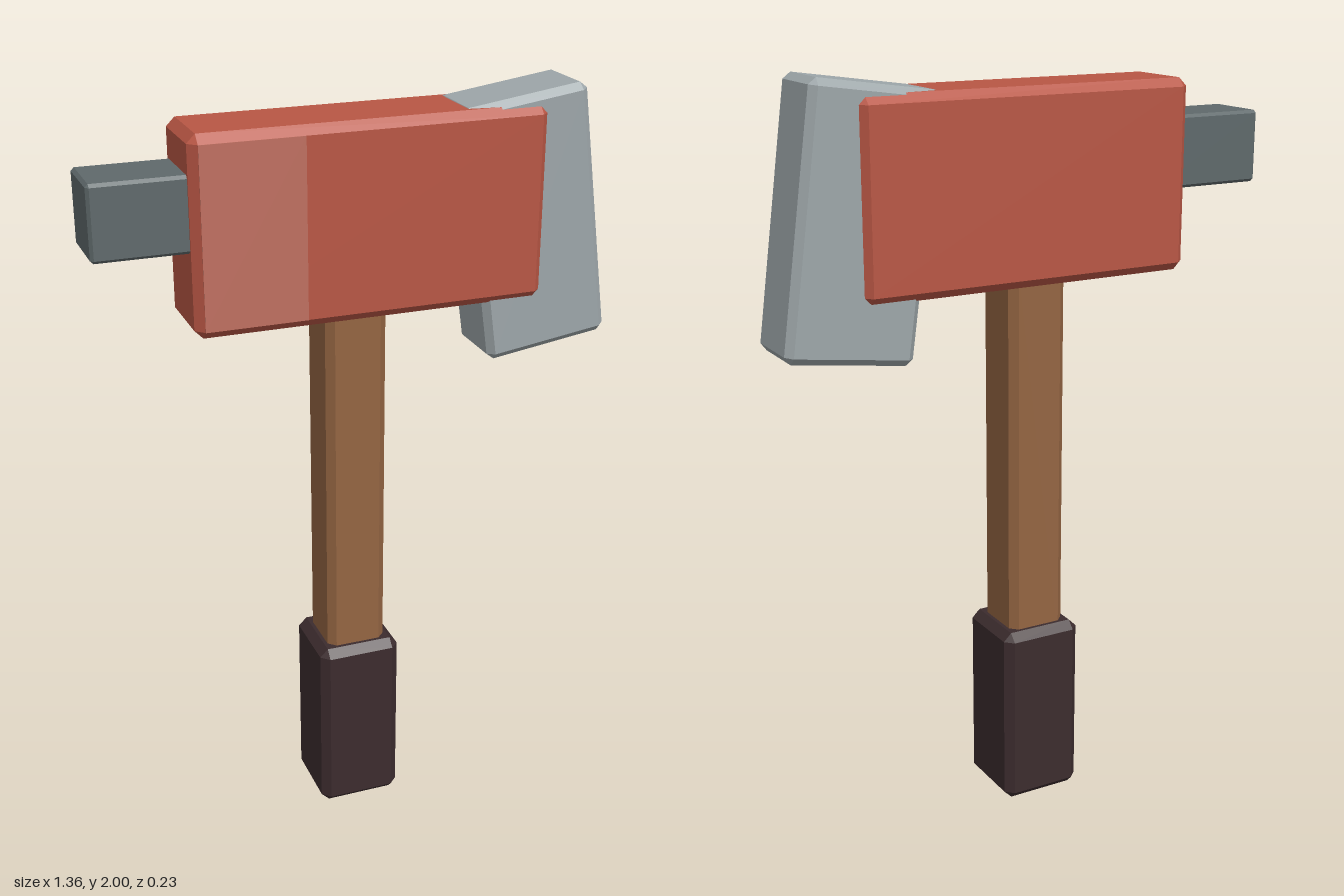
import * as THREE from 'three';
import { ConvexGeometry } from 'three/addons/geometries/ConvexGeometry.js';

const mat = (name, color) => {
  const m = new THREE.MeshStandardMaterial({ color });
  m.name = name;
  return m;
};

// Box with every edge cut flat by c
function chamferBox(w, h, d, c) {
  const pts = [];
  for (const x of [-1, 1]) for (const y of [-1, 1]) for (const z of [-1, 1])
    for (let axis = 0; axis < 3; axis++) {
      const inset = [c, c, c];
      inset[axis] = 0;
      pts.push(new THREE.Vector3(
        x * (w / 2 - inset[0]), y * (h / 2 - inset[1]), z * (d / 2 - inset[2])));
    }
  return new ConvexGeometry(pts);
}

export function createModel() {
  const group = new THREE.Group();
  const red = mat('red paint', 0xb85644);
  const paleRed = mat('pale red paint', 0xbf6f60);
  const steel = mat('light steel', 0x9da6a9);
  const darkSteel = mat('dark steel', 0x5f696b);
  const wood = mat('wood', 0x946542);
  const rubber = mat('dark grip', 0x3c2c2e);

  const add = (name, geometry, material, x, y, z = 0) => {
    const mesh = new THREE.Mesh(geometry, material);
    mesh.name = name;
    mesh.position.set(x, y, z);
    group.add(mesh);
    return mesh;
  };

  // Handle and its grip
  add('grip', chamferBox(0.226, 0.504, 0.226, 0.022), rubber, -0.018, 0.252);
  add('handle', chamferBox(0.163, 1.08, 0.163, 0.02), wood, -0.018, 0.98);

  // Head block with a pale panel on its front
  add('head', chamferBox(0.924, 0.5, 0.228, 0.022), red, 0.018, 1.705);
  add('headPanel', new THREE.BoxGeometry(0.262, 0.456, 0.004), paleRed, -0.291, 1.705, 0.114);

  // Hammer end
  add('poll', chamferBox(0.32, 0.19, 0.175, 0.008), darkSteel, -0.522, 1.763);

  // Tilted blade
  const blade = add('blade', chamferBox(0.34, 0.672, 0.194, 0.018), steel, 0.467, 1.645);
  blade.rotation.z = 0.14;

  return group;
}
